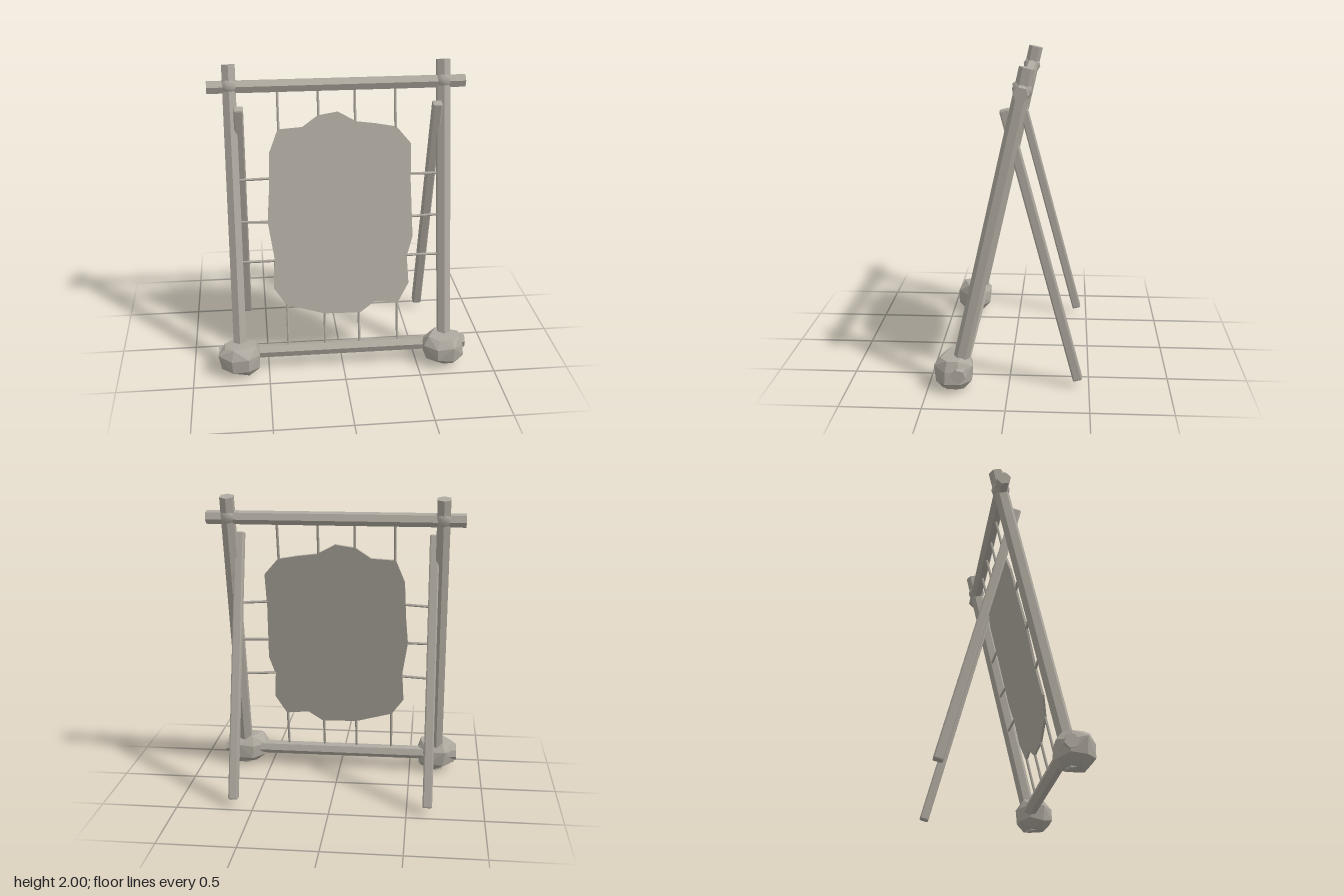
import * as THREE from 'three';
import { ConvexGeometry } from 'three/addons/geometries/ConvexGeometry.js';
import { RoundedBoxGeometry } from 'three/addons/geometries/RoundedBoxGeometry.js';
import { toCreasedNormals } from 'three/addons/utils/BufferGeometryUtils.js';

const LEAN = 0.2213; // backward lean of the frame
const up = (y) => y / Math.cos(LEAN); // height converted to length along the leaning frame

export function createModel() {
  const model = new THREE.Group();
  const wood = new THREE.MeshStandardMaterial({ color: 0xaea99f });
  wood.name = 'weatheredGrey';

  const add = (parent, name, geometry) => {
    const mesh = new THREE.Mesh(geometry, wood);
    mesh.name = name;
    parent.add(mesh);
    return mesh;
  };

  // Six-sided pole between two points
  const pole = (parent, name, a, b, r) => {
    const start = new THREE.Vector3(...a), end = new THREE.Vector3(...b);
    const dir = end.clone().sub(start);
    const geometry = toCreasedNormals(new THREE.CylinderGeometry(r, r, dir.length(), 6), 0.5);
    const mesh = add(parent, name, geometry);
    mesh.position.copy(start).add(end).multiplyScalar(0.5);
    mesh.quaternion.setFromUnitVectors(new THREE.Vector3(0, 1, 0), dir.normalize());
    return mesh;
  };

  // Leaning frame: local y runs up the posts
  const frame = new THREE.Group();
  frame.name = 'leaningFrame';
  frame.position.z = 0.336;
  frame.rotation.x = -LEAN;
  model.add(frame);

  for (const [side, s] of [['left', 1], ['right', -1]]) {
    pole(frame, side + 'Post', [s * 0.688, up(0.012), 0], [s * 0.688, up(1.989), 0], 0.049);
    const knot = add(frame, side + 'Knot', new THREE.SphereGeometry(0.061, 6, 4));
    knot.rotation.x = Math.PI / 2;
    knot.rotation.y = Math.PI / 6;
    knot.position.set(s * 0.688, up(1.86), 0);
  }
  pole(frame, 'topBar', [-0.83, up(1.852), 0], [0.83, up(1.852), 0], 0.045);
  pole(frame, 'bottomBar', [-0.83, up(0.132), -0.01], [0.83, up(0.132), -0.01], 0.045);

  // Stretched hide, an irregular thin sheet
  const outline = [
    [0, 1.68], [-0.13, 1.66], [-0.23, 1.59], [-0.39, 1.58], [-0.45, 1.43], [-0.46, 1.18],
    [-0.475, 0.99], [-0.44, 0.76], [-0.45, 0.555], [-0.37, 0.44], [-0.12, 0.37], [0.12, 0.365],
    [0.22, 0.435], [0.375, 0.42], [0.45, 0.55], [0.44, 0.73], [0.48, 0.86], [0.47, 1.23],
    [0.475, 1.465], [0.38, 1.575], [0.24, 1.6], [0.12, 1.615],
  ].map(([x, y]) => new THREE.Vector2(x, up(y)));
  const hide = new THREE.ExtrudeGeometry(new THREE.Shape(outline), { depth: 0.014, bevelEnabled: false });
  hide.translate(0, 0, -0.007);
  add(frame, 'hide', hide);

  // Cords tying the hide to the frame
  const cord = (x1, y1, z1, x2, y2) => pole(frame, 'cord', [x1, up(y1), z1], [x2, up(y2), 0], 0.009);
  for (const [x, y] of [[-0.385, 1.57], [-0.125, 1.65], [0.112, 1.6], [0.375, 1.565]]) cord(x, 1.84, 0, x, y);
  for (const [x, y] of [[-0.366, 0.45], [-0.118, 0.38], [0.112, 0.375], [0.37, 0.43]]) cord(x, 0.14, 0, x, y);
  for (const [outer, inner, left, right] of [
    [1.265, 1.272, 0.46, 0.45], [0.995, 0.992, 0.47, 0.465], [0.732, 0.737, 0.43, 0.435],
  ]) {
    cord(0.66, outer, -0.015, left, inner);
    cord(-0.66, outer, -0.015, -right, inner);
  }

  // Back struts: square beams with slightly chamfered edges
  const top = new THREE.Vector3(0, 1.742, 0.026), foot = new THREE.Vector3(0, 0.046, -0.431);
  const run = top.clone().sub(foot);
  for (const [side, s] of [['left', 1], ['right', -1]]) {
    const strut = add(model, side + 'BackStrut',
      toCreasedNormals(new RoundedBoxGeometry(0.062, run.length(), 0.06, 1, 0.009), 0.3));
    strut.position.copy(top).add(foot).multiplyScalar(0.5);
    strut.position.x = s * 0.635;
    strut.rotation.x = Math.atan2(run.z, run.y);
  }

  // Foot rocks: faceted hulls of stacked uneven rings [y, half width, half depth, x shift]
  const rings = [[0.022, 0.085, 0.07, 0.025], [0.065, 0.13, 0.115, 0.005], [0.155, 0.137, 0.118, 0], [0.208, 0.105, 0.08, 0.005]];
  const rock = (name, x, z, mirror, seed) => {
    const points = [];
    rings.forEach(([y, w, d, shift], i) => {
      for (let k = 0; k < 8; k++) {
        const a = ((k + 0.5) / 8) * Math.PI * 2;
        const n = Math.sin(k * 2.7 + i * 1.9 + seed);
        const r = 1.06 + n * 0.05;
        points.push(new THREE.Vector3(
          x + mirror * (shift + Math.cos(a) * w * r),
          y + n * 0.01,
          z + Math.sin(a) * d * r));
      }
    });
    add(model, name, new ConvexGeometry(points));
  };
  rock('leftFootRock', 0.675, 0.338, 1, 0.8);
  rock('rightFootRock', -0.692, 0.34, 1, 2.3);

  return model;
}
